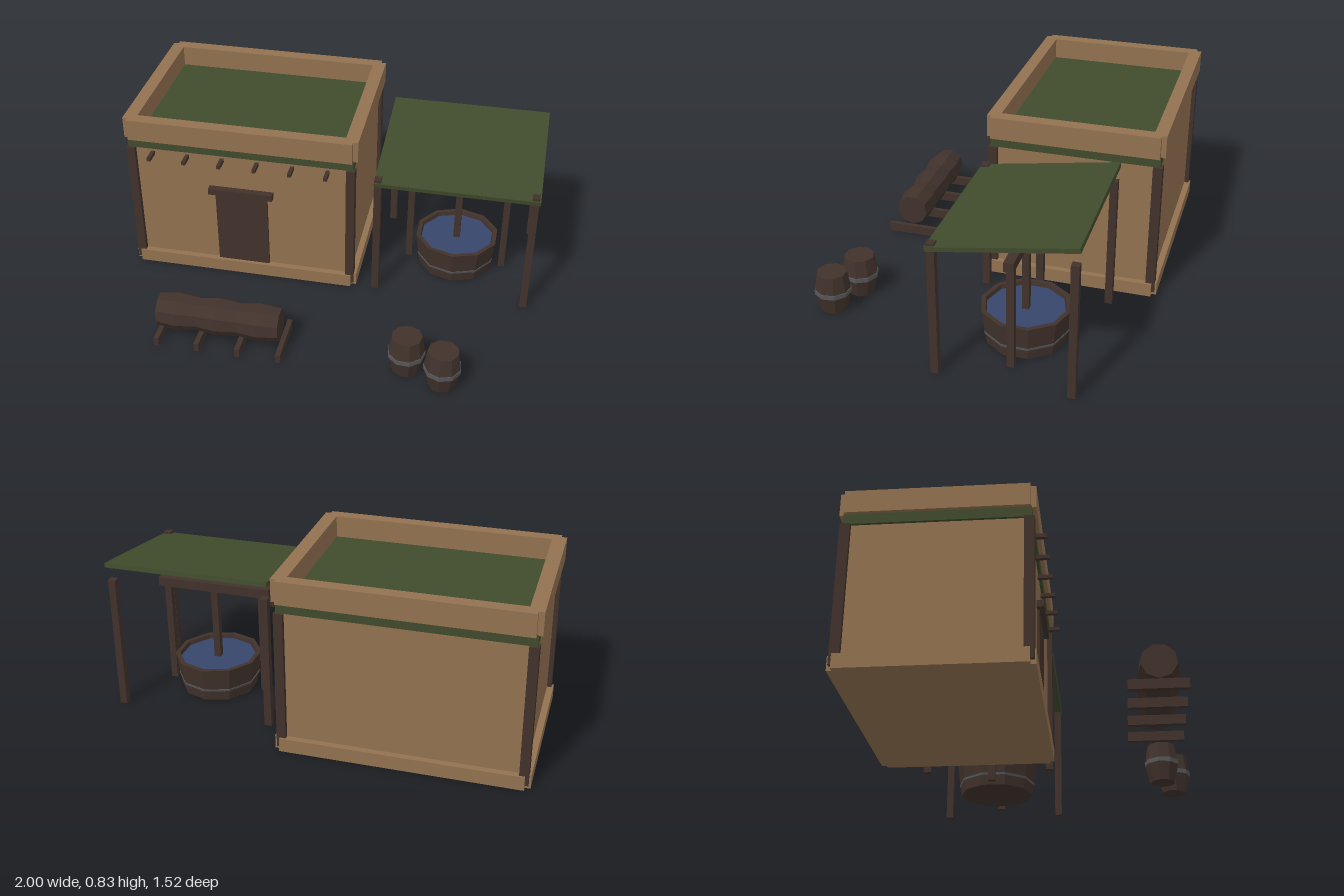
import * as THREE from 'three';

const mat = (name, color, flatShading = true) => {
  const m = new THREE.MeshStandardMaterial({ color, flatShading });
  m.name = name;
  return m;
};

export function createModel() {
  const clay = mat('clay', 0x927150);
  const wood = mat('darkWood', 0x41322b);
  const green = mat('greenCloth', 0x404b2c);
  const iron = mat('iron', 0x56565a);
  const water = mat('water', 0x36466b);
  const model = new THREE.Group();

  const group = (name) => {
    const g = new THREE.Group();
    g.name = name;
    model.add(g);
    return g;
  };
  const add = (parent, name, geometry, material, x = 0, y = 0, z = 0) => {
    const m = new THREE.Mesh(geometry, material);
    m.name = name;
    m.position.set(x, y, z);
    parent.add(m);
    return m;
  };
  // box given by its low and high limits on each axis
  const box = (parent, name, material, x0, x1, y0, y1, z0, z1) =>
    add(parent, name, new THREE.BoxGeometry(x1 - x0, y1 - y0, z1 - z0), material,
      (x0 + x1) / 2, (y0 + y1) / 2, (z0 + z1) / 2);
  const lathe = (pts, sides) =>
    new THREE.LatheGeometry(pts.map(([r, y]) => new THREE.Vector2(r, y)), sides);

  // House body
  const house = group('house');
  box(house, 'walls', clay, -0.97, 0.115, 0, 0.68, -0.73, 0.05);
  box(house, 'roofSlab', green, -0.983, 0.125, 0.68, 0.732, -0.74, 0.062);

  // Four boards with notched corners, used for the plinth and the parapet
  const frame = (name, y0, y1) => {
    for (const [z0, z1] of [[0.02, 0.08], [-0.76, -0.70]])
      box(house, name, clay, -0.975, 0.12, y0, y1, z0, z1);
    for (const [x0, x1] of [[-1, -0.936], [0.081, 0.145]])
      box(house, name, clay, x0, x1, y0, y1, -0.737, 0.057);
  };
  frame('plinth', 0, 0.066);
  frame('parapet', 0.728, 0.835);

  // Corner posts
  for (const x of [-0.97, 0.112])
    for (const z of [-0.729, 0.052])
      box(house, 'cornerPost', wood, x - 0.021, x + 0.021, 0.02, 0.68, z - 0.022, z + 0.022);

  // Door, lintel and projecting roof beams
  box(house, 'door', wood, -0.56, -0.3, 0.02, 0.466, 0.03, 0.062);
  box(house, 'lintel', wood, -0.59, -0.27, 0.464, 0.497, 0.03, 0.083);
  for (let i = 0; i < 6; i++) {
    const x = -0.865 + i * 0.173;
    box(house, 'roofBeam', wood, x - 0.009, x + 0.009, 0.643, 0.661, 0.03, 0.118);
  }

  // Sloping canopy on four posts
  const canopy = group('canopy');
  const slope = Math.atan2(0.102, 0.645);
  const cloth = add(canopy, 'canopyRoof', new THREE.BoxGeometry(0.776, 0.022, 0.656), green,
    0.612, 0.672, -0.253);
  cloth.rotation.x = slope;
  for (const x of [0.241, 0.977]) {
    box(canopy, 'canopyPost', wood, x - 0.017, x + 0.017, 0, 0.648, 0.031, 0.067);
    box(canopy, 'canopyPost', wood, x - 0.017, x + 0.017, 0, 0.648, -0.573, -0.538);
  }

  // Well: tub, water, hoop and hoist frame
  const well = group('well');
  const wx = 0.609, wz = -0.252;
  add(well, 'tub', lathe([[0, 0], [0.186, 0], [0.21, 0.17], [0.188, 0.17], [0.18, 0.13], [0, 0.13]], 10),
    wood, wx, 0, wz);
  add(well, 'hoop', lathe([[0.19, 0.051], [0.196, 0.051], [0.198, 0.062], [0.19, 0.062]], 10),
    iron, wx, 0, wz);
  add(well, 'water', lathe([[0.186, 0.15], [0, 0.15]], 10), water, wx, 0, wz);
  for (const x of [0.37, 0.847])
    box(well, 'framePost', wood, x - 0.016, x + 0.016, 0, 0.505, wz - 0.017, wz + 0.017);
  box(well, 'crossbeam', wood, 0.33, 0.89, 0.5, 0.545, wz - 0.022, wz + 0.022);
  box(well, 'hoistPole', wood, wx - 0.016, wx + 0.016, 0.14, 0.505, wz - 0.016, wz + 0.016);

  // Two barrels with a hoop around the middle
  for (const [x, z, turn] of [[0.478, 0.608, 0.3], [0.65, 0.672, 0.65]]) {
    const barrel = group('barrel');
    barrel.position.set(x, 0, z);
    barrel.rotation.y = turn;
    add(barrel, 'staves', lathe([[0, 0], [0.062, 0], [0.084, 0.088], [0.084, 0.114], [0.071, 0.197], [0, 0.197]], 9), wood);
    add(barrel, 'barrelHoop', lathe([[0.08, 0.088], [0.087, 0.09], [0.087, 0.112], [0.08, 0.114]], 9), iron);
  }

  // Wavy log lying on four sleepers
  const logPile = group('logBench');
  const profile = [[0, -0.292]];
  for (let i = 0; i <= 6; i++) profile.push([i % 2 ? 0.091 : 0.079, -0.292 + i * 0.0973]);
  profile.push([0, 0.292]);
  const log = add(logPile, 'log', lathe(profile, 9), wood, -0.408, 0.127, 0.57);
  log.rotation.set(0.2, 0, -Math.PI / 2);
  for (let i = 0; i < 4; i++) {
    const x = -0.69 + i * 0.195;
    box(logPile, 'sleeper', wood, x - 0.012, x + 0.012, 0, 0.045, 0.435, 0.692);
  }
  return model;
}
